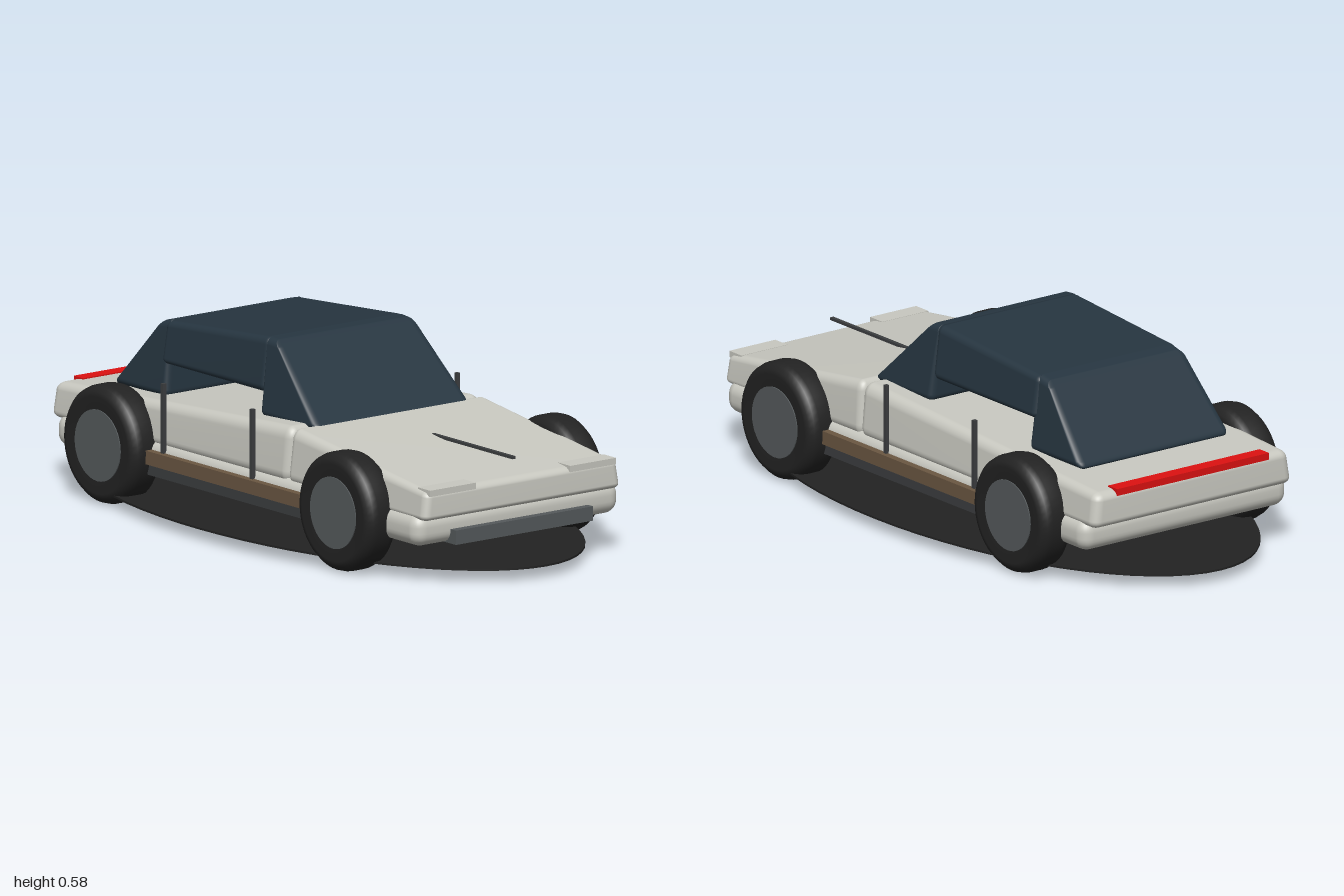
import * as THREE from 'three';
import { mergeVertices } from 'three/addons/utils/BufferGeometryUtils.js';
import { RoundedBoxGeometry } from 'three/addons/geometries/RoundedBoxGeometry.js';

const mat = (name, color) => {
  const m = new THREE.MeshStandardMaterial({ color });
  m.name = name;
  return m;
};

export function createModel() {
  const paint = mat('pale grey paint', 0xc8c8c0);
  const glass = mat('dark blue glass', 0x263540);
  const rubber = mat('black rubber', 0x222222);
  const metal = mat('grey metal', 0x555a5c);
  const trim = mat('dark trim', 0x3c3e40);
  const wood = mat('brown sill', 0x6b5742);
  const red = mat('red light', 0xdd1111);

  // The car points along +x, turned slightly towards +z
  const car = new THREE.Group();
  car.name = 'car';
  car.rotation.y = -0.0875;

  const add = (name, geometry, material, x = 0, y = 0, z = 0) => {
    const mesh = new THREE.Mesh(geometry, material);
    mesh.name = name;
    mesh.position.set(x, y, z);
    car.add(mesh);
    return mesh;
  };

  // Plain box given by its limits
  const box = (name, material, x0, x1, y0, y1, z0, z1) =>
    add(name, new THREE.BoxGeometry(x1 - x0, y1 - y0, z1 - z0), material,
      (x0 + x1) / 2, (y0 + y1) / 2, (z0 + z1) / 2);

  // Rounded block whose top and bottom may differ in length, width and slope.
  // bottom: [rear x, front x, half width, y], top: [rear x, front x, half width, rear y, front y]
  const block = (name, material, bottom, top, radius) => {
    const L = bottom[1] - bottom[0];
    const H = (top[3] + top[4]) / 2 - bottom[3];
    const W = bottom[2] * 2;
    let g = new RoundedBoxGeometry(L, H, W, 4, radius);
    g.deleteAttribute('uv');
    g.deleteAttribute('normal');
    g = mergeVertices(g, 1e-5);
    const p = g.attributes.position;
    const mix = THREE.MathUtils.lerp;
    for (let i = 0; i < p.count; i++) {
      const s = p.getX(i) / L + 0.5;
      const t = p.getY(i) / H + 0.5;
      const x = mix(mix(bottom[0], bottom[1], s), mix(top[0], top[1], s), t);
      const y = mix(bottom[3], mix(top[3], top[4], s), t);
      const z = p.getZ(i) / bottom[2] * mix(bottom[2], top[2], t);
      p.setXYZ(i, x, y, z);
    }
    g.computeVertexNormals();
    return add(name, g, material);
  };

  // Bodywork
  block('lowerBody', paint, [-0.84, 0.875, 0.38, 0.117], [-0.84, 0.875, 0.38, 0.215, 0.215], 0.04);
  block('rearBody', paint, [-0.875, 0.25, 0.37, 0.195], [-0.87, 0.25, 0.355, 0.3, 0.365], 0.03);
  block('hood', paint, [0.24, 0.895, 0.368, 0.197], [0.25, 0.89, 0.355, 0.365, 0.283], 0.025);

  // Cabin
  block('rearWindow', glass, [-0.7, -0.44, 0.278, 0.315], [-0.495, -0.455, 0.25, 0.535, 0.545], 0.022);
  block('roof', glass, [-0.47, 0.02, 0.275, 0.415], [-0.47, 0.02, 0.255, 0.54, 0.578], 0.02);
  block('windshield', glass, [0.01, 0.295, 0.288, 0.345], [0.01, 0.045, 0.255, 0.578, 0.575], 0.022);

  // Front and rear details
  box('frontBumper', metal, 0.825, 0.9, 0.117, 0.16, -0.255, 0.255);
  box('hoodStrip', trim, 0.4, 0.85, 0.329, 0.337, -0.006, 0.006);
  box('tailLight', red, -0.87, -0.826, 0.285, 0.306, -0.28, 0.28);

  // Parts repeated on both sides
  for (const side of [-1, 1]) {
    const z0 = side * 0.35;
    box('sill', wood, -0.45, 0.45, 0.147, 0.188, z0 - 0.05, z0 + 0.05);
    box('sillUnderside', trim, -0.43, 0.43, 0.112, 0.147, z0 - 0.035, z0 + 0.035);
    const c = side * 0.26;
    box('headlightCover', paint, 0.835, 0.893, 0.272, 0.291, c - 0.085, c + 0.085);
    for (const x of [-0.32, 0.1])
      box('doorPost', trim, x - 0.006, x + 0.006, 0.188, 0.397, side * 0.38 - 0.006, side * 0.38 + 0.006);
  }

  // Wheels: a tyre with rounded shoulders and a flat hub
  const profile = [
    [0.1, -0.052], [0.145, -0.057], [0.16, -0.053], [0.172, -0.04], [0.177, -0.022],
    [0.177, 0.022], [0.172, 0.04], [0.16, 0.053], [0.145, 0.057], [0.1, 0.052],
  ].map(([r, h]) => new THREE.Vector2(r, h));
  const tyre = new THREE.LatheGeometry(profile, 48).rotateX(Math.PI / 2);
  const hub = new THREE.CylinderGeometry(0.107, 0.107, 0.112, 40).rotateX(Math.PI / 2);
  for (const x of [-0.555, 0.555]) {
    for (const side of [-1, 1]) {
      add('tyre', tyre, rubber, x, 0.177, side * 0.385);
      add('hub', hub, metal, x, 0.177, side * 0.385);
    }
  }

  // Flat oval under the car
  const oval = new THREE.CylinderGeometry(1, 1, 0.006, 64).scale(1.003, 1, 0.5);
  add('groundOval', oval, rubber, 0, 0.038, 0);

  const model = new THREE.Group();
  model.name = 'model';
  model.add(car);
  return model;
}
